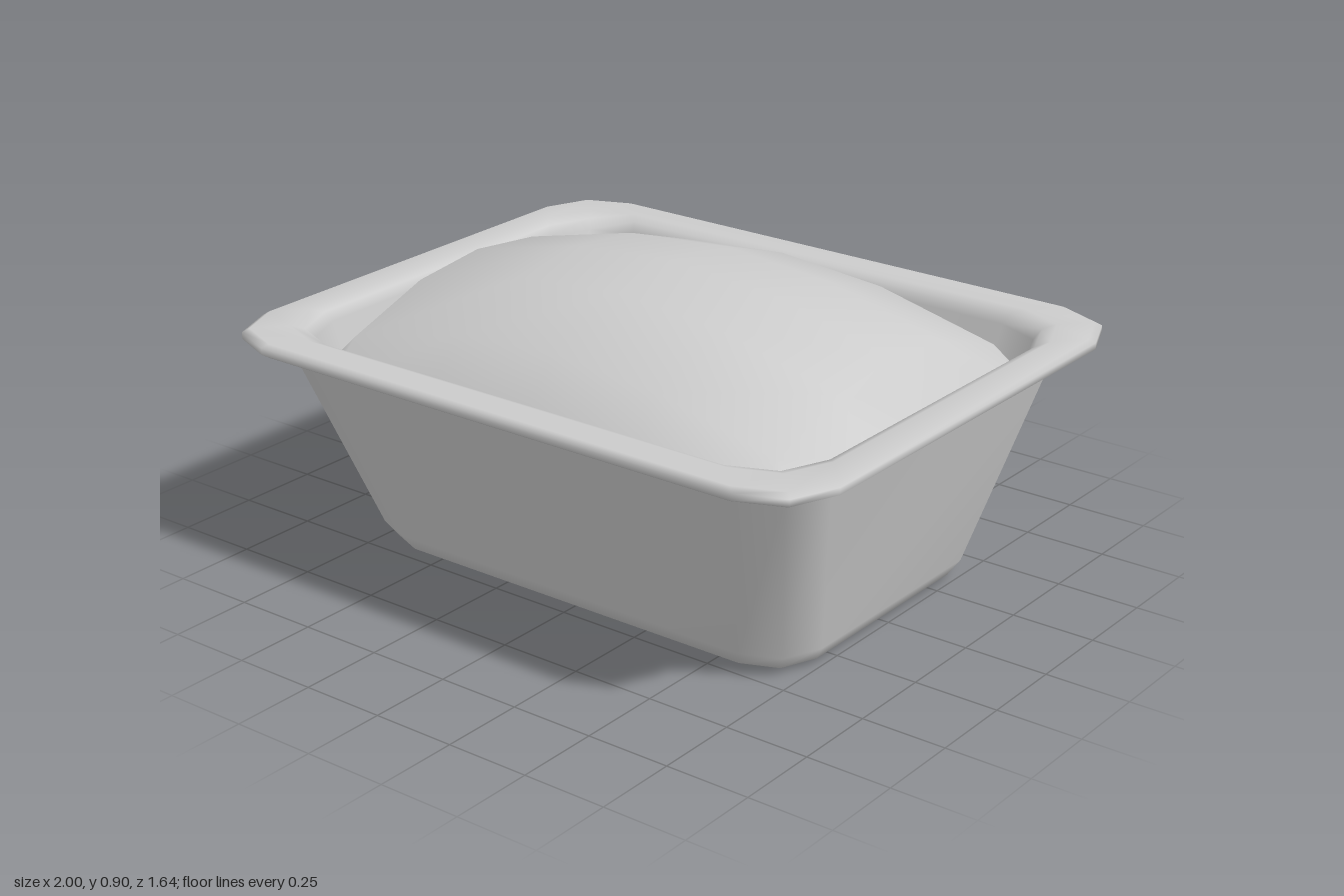
import * as THREE from 'three';

// Smooth-shaded surface from rows of points; closed rows wrap around
function skin(rows, closed, material, name) {
  const n = rows[0].length, index = [];
  for (let j = 0; j < rows.length - 1; j++) {
    for (let i = 0; i < (closed ? n : n - 1); i++) {
      const k = (i + 1) % n;
      const a = j * n + i, b = j * n + k, c = a + n, d = b + n;
      index.push(a, c, b, b, c, d);
    }
  }
  const geometry = new THREE.BufferGeometry();
  geometry.setAttribute('position', new THREE.Float32BufferAttribute(rows.flat(2), 3));
  geometry.setIndex(index);
  geometry.computeVertexNormals();
  const mesh = new THREE.Mesh(geometry, material);
  mesh.name = name;
  return mesh;
}

// Rectangle with two-sided rounded corners: half width, half depth, corner size, height
function ring([hx, hz, r, y]) {
  const points = [];
  for (let q = 0; q < 4; q++) {
    const sx = q === 0 || q === 3 ? 1 : -1, sz = q < 2 ? 1 : -1;
    for (let k = 0; k < 3; k++) {
      const a = (q + k / 2) * Math.PI / 2;
      points.push([sx * (hx - r) + r * Math.cos(a), y, sz * (hz - r) + r * Math.sin(a)]);
    }
  }
  return points;
}

export function createModel() {
  const group = new THREE.Group();
  const material = new THREE.MeshStandardMaterial({ color: 0xcccccc, side: THREE.DoubleSide });

  // Pan: underside, tapered wall, rolled rim, inner wall, inner floor
  const pan = [
    [0, 0, 0, 0],
    [0.68, 0.42, 0.12, 0],
    [0.735, 0.475, 0.15, 0.018],
    [0.765, 0.505, 0.16, 0.065],
    [0.91, 0.715, 0.18, 0.635],
    [0.922, 0.73, 0.18, 0.656],
    [0.945, 0.752, 0.18, 0.665],
    [0.985, 0.805, 0.19, 0.665],
    [1.0, 0.82, 0.19, 0.675],
    [1.0, 0.82, 0.19, 0.695],
    [0.985, 0.805, 0.19, 0.706],
    [0.91, 0.72, 0.19, 0.706],
    [0.88, 0.69, 0.19, 0.694],
    [0.865, 0.67, 0.19, 0.665],
    [0.73, 0.47, 0.15, 0.07],
    [0.66, 0.4, 0.12, 0.035],
    [0, 0, 0, 0.035],
  ];
  group.add(skin(pan.map(ring), true, material, 'pan'));

  // Domed loaf: height falls off along x and z independently, corners tucked in
  const xs = [0, 0.35, 0.735, 0.85], xDrop = [0, 0.03, 0.12, 0.262];
  const zs = [0, 0.25, 0.525, 0.655], zDrop = [0, 0.027, 0.12, 0.278];
  const rows = [];
  for (let j = -3; j <= 3; j++) {
    const row = [];
    for (let i = -3; i <= 3; i++) {
      const u = Math.abs(i), v = Math.abs(j);
      const corner = u === 3 && v === 3;
      const x = corner ? 0.795 : xs[u], z = corner ? 0.595 : zs[v];
      const y = Math.max(0.55, 0.9 - xDrop[u] - zDrop[v]);
      row.push([Math.sign(i) * x, y, Math.sign(j) * z]);
    }
    rows.push(row);
  }
  group.add(skin(rows, false, material, 'loaf'));

  return group;
}
